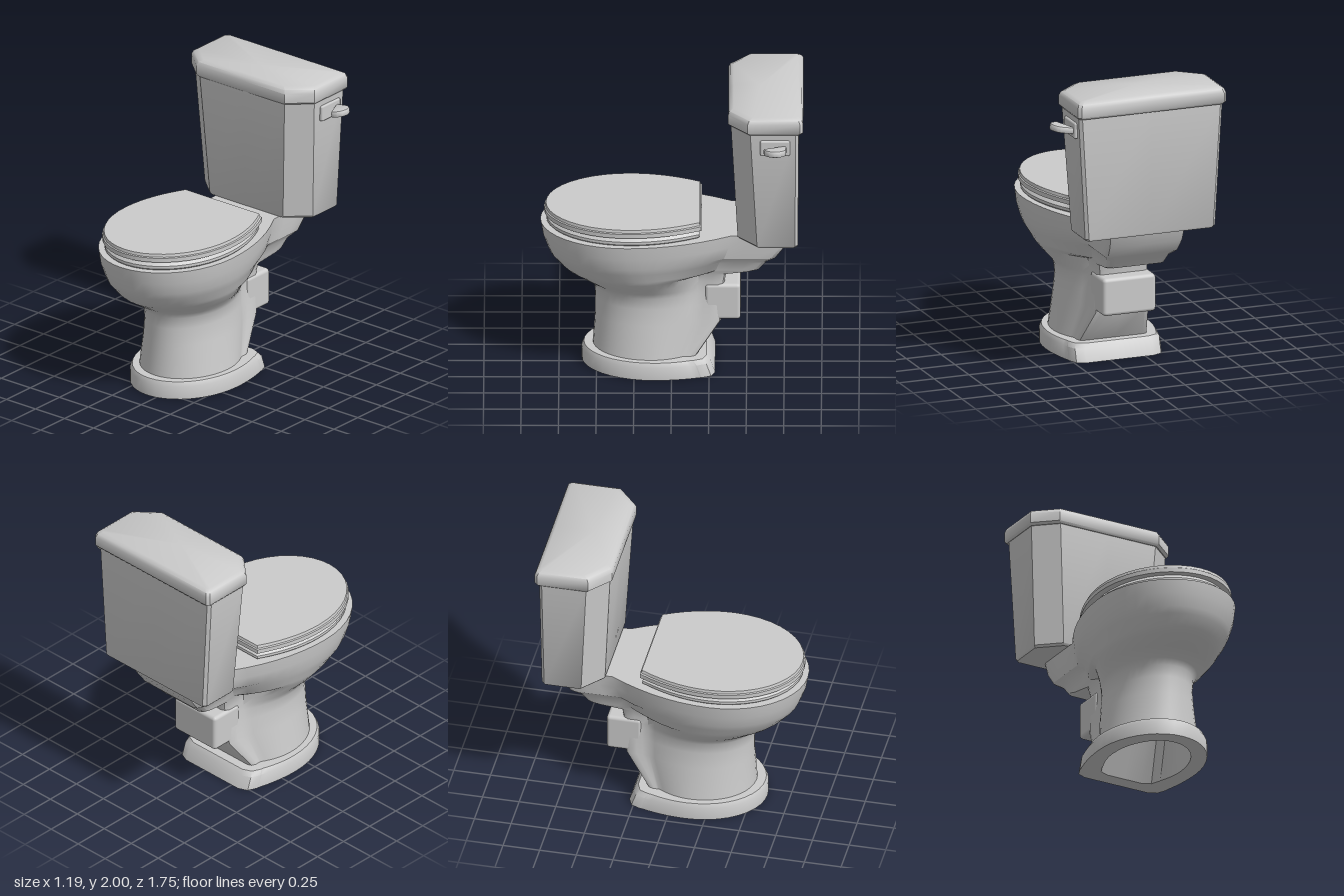
import * as THREE from 'three';
import { toCreasedNormals } from 'three/addons/utils/BufferGeometryUtils.js';
import { RoundedBoxGeometry } from 'three/addons/geometries/RoundedBoxGeometry.js';

const grey = new THREE.MeshStandardMaterial({ color: 0xcccccc });
const CX = -0.07; // symmetry plane of everything but the lever

// Mirror a half outline (front centre -> +x side -> back centre) into a full ring at height y
function ring(y, half) {
  const left = half.slice(1, -1).reverse().map(([x, z]) => [-x, z]);
  return [...half, ...left].map(([x, z]) => new THREE.Vector3(x, y, z));
}

// Egg outline: elliptical nose, widest (hw) at zm, tapering to bw at zn, then straight to zb
function egg(y, hw, zf, zm, bw, zn, zb, r) {
  const half = [];
  for (let i = 0; i <= 10; i++) {
    const a = (i / 10) * Math.PI / 2;
    half.push([hw * Math.sin(a), zm + (zf - zm) * Math.cos(a)]);
  }
  for (let i = 1; i <= 7; i++) {
    const u = i / 7;
    half.push([bw + (hw - bw) * (1 - u * u), zm + (zn - zm) * u]);
  }
  for (let i = 1; i <= 3; i++) half.push([bw, zn + (zb + r - zn) * i / 3]);
  half.push([bw - r * 0.3, zb + r * 0.3], [bw - r, zb], [0, zb]);
  return ring(y, half);
}

// Foot outline, inset by d; its back leans forward with height
function footRing(y, d) {
  const zb = -0.29 + 0.35 * y + d;
  return egg(y, 0.375 - d, 0.6 - d, 0.12, 0.33 - d, zb + 0.1, zb, 0.09);
}

// Pedestal and bowl outline: the widest point moves forward with height
function bowlRing(y, hw, zf, bw, zb) {
  const zm = 0.14 + 0.16 * THREE.MathUtils.smoothstep(y, 0.45, 0.95);
  return egg(y, hw, zf, zm, bw, zb / 2, zb, 0.04);
}

// Seat outline, inset by d
function seatRing(y, d) {
  return egg(y, 0.455 - d, 0.85 - d, 0.28, 0.335 - d, -0.19 + d, -0.2 + d, 0.008);
}

// Box outline with cut front corners
function tankRing(y, hw, zf, zb) {
  return ring(y, [[0, zf], [hw - 0.15, zf], [hw, zf - 0.13],
    [hw, zb + 0.02], [hw - 0.02, zb], [0, zb]]);
}

// Skin a stack of rings and close both ends
function loft(name, rings, crease = 0.6) {
  const pos = [];
  const tri = (...p) => p.forEach((v) => pos.push(v.x, v.y, v.z));
  const n = rings[0].length;
  for (let k = 0; k < rings.length - 1; k++) {
    const a = rings[k], b = rings[k + 1];
    for (let i = 0; i < n; i++) {
      const j = (i + 1) % n;
      tri(a[i], a[j], b[j]);
      tri(a[i], b[j], b[i]);
    }
  }
  const first = rings[0], last = rings[rings.length - 1];
  const mid = (r) => new THREE.Vector3(0, r[0].y, r[0].z * 0.6 + r[n / 2].z * 0.4);
  for (let i = 0; i < n; i++) {
    const j = (i + 1) % n;
    tri(mid(first), first[j], first[i]);
    tri(mid(last), last[i], last[j]);
  }
  const g = new THREE.BufferGeometry();
  g.setAttribute('position', new THREE.Float32BufferAttribute(pos, 3));
  return mesh(name, toCreasedNormals(g, crease), CX);
}

function mesh(name, geometry, x, y = 0, z = 0) {
  const m = new THREE.Mesh(geometry, grey);
  m.name = name;
  m.position.set(x, y, z);
  return m;
}

export function createModel() {
  const group = new THREE.Group();
  group.name = 'toilet';

  // Hollow foot, pedestal, bowl and rear shelf in one skin
  const foot = [[0.3, 0.15], [0, 0.11], [0, 0], [0.09, 0], [0.12, 0.015]];
  const bowl = [ // y, half width, front, back half width, back
    [0.12, 0.315, 0.525, 0.25, -0.17],
    [0.35, 0.28, 0.51, 0.20, -0.33],
    [0.47, 0.265, 0.51, 0.19, -0.34],
    [0.55, 0.27, 0.515, 0.18, -0.345],
    [0.59, 0.29, 0.54, 0.18, -0.35],
    [0.64, 0.335, 0.62, 0.18, -0.355],
    [0.695, 0.375, 0.71, 0.19, -0.365],
    [0.72, 0.39, 0.74, 0.20, -0.54],
    [0.735, 0.395, 0.755, 0.205, -0.59],
    [0.80, 0.43, 0.81, 0.22, -0.64],
    [0.845, 0.445, 0.83, 0.26, -0.70],
    [0.93, 0.465, 0.86, 0.27, -0.76],
    [1.02, 0.475, 0.875, 0.275, -0.79],
  ];
  group.add(loft('bowlAndPedestal',
    [...foot.map((p) => footRing(...p)), ...bowl.map((p) => bowlRing(...p))]));

  // Outlet at the back of the pedestal
  group.add(mesh('outlet', new RoundedBoxGeometry(0.38, 0.26, 0.24, 2, 0.025), CX, 0.49, -0.34));

  // Seat with a rounded edge, and its closed lid
  group.add(loft('seat', [[1.015, 0.03], [1.03, 0.015], [1.05, 0.015], [1.085, 0.045]]
    .map((p) => seatRing(...p))));
  group.add(loft('seatLid', [[1.08, 0.012], [1.085, 0], [1.115, 0], [1.12, 0.008], [1.14, 0.012]]
    .map((p) => seatRing(...p)), 0.5));

  // Tapered tank and its overhanging cover
  group.add(loft('tank', [
    tankRing(1.02, 0.455, -0.45, -0.835),
    tankRing(1.035, 0.465, -0.44, -0.842),
    tankRing(1.89, 0.515, -0.395, -0.848),
  ]));
  group.add(loft('tankCover', [[1.88, 0.012], [1.895, 0], [1.96, 0], [1.985, 0.01], [2.0, 0.035]]
    .map(([y, d]) => tankRing(y, 0.53 - d, -0.378 - d, -0.877 + d)), 0.7));

  // Flush lever: a rounded plate and a flat, round-ended paddle
  const lever = new THREE.Group();
  lever.name = 'flushLever';
  lever.add(mesh('leverPlate', new RoundedBoxGeometry(0.04, 0.11, 0.2, 1, 0.012), 0.438, 1.783, -0.69));

  const paddle = new THREE.Shape();
  paddle.moveTo(0, -0.075);
  paddle.absarc(0.075, 0, 0.075, -Math.PI / 2, Math.PI / 2);
  paddle.lineTo(0, 0.075);
  const paddleGeo = new THREE.ExtrudeGeometry(paddle, {
    depth: 0.025, curveSegments: 10, bevelSize: 0.012, bevelThickness: 0.01, bevelOffset: -0.012, bevelSegments: 2 });
  paddleGeo.rotateX(-Math.PI / 2);
  const paddleMesh = mesh('leverPaddle', toCreasedNormals(paddleGeo, 0.7), 0.445, 1.765, -0.69);
  paddleMesh.rotation.z = 0.17;
  lever.add(paddleMesh);
  group.add(lever);

  return group;
}
